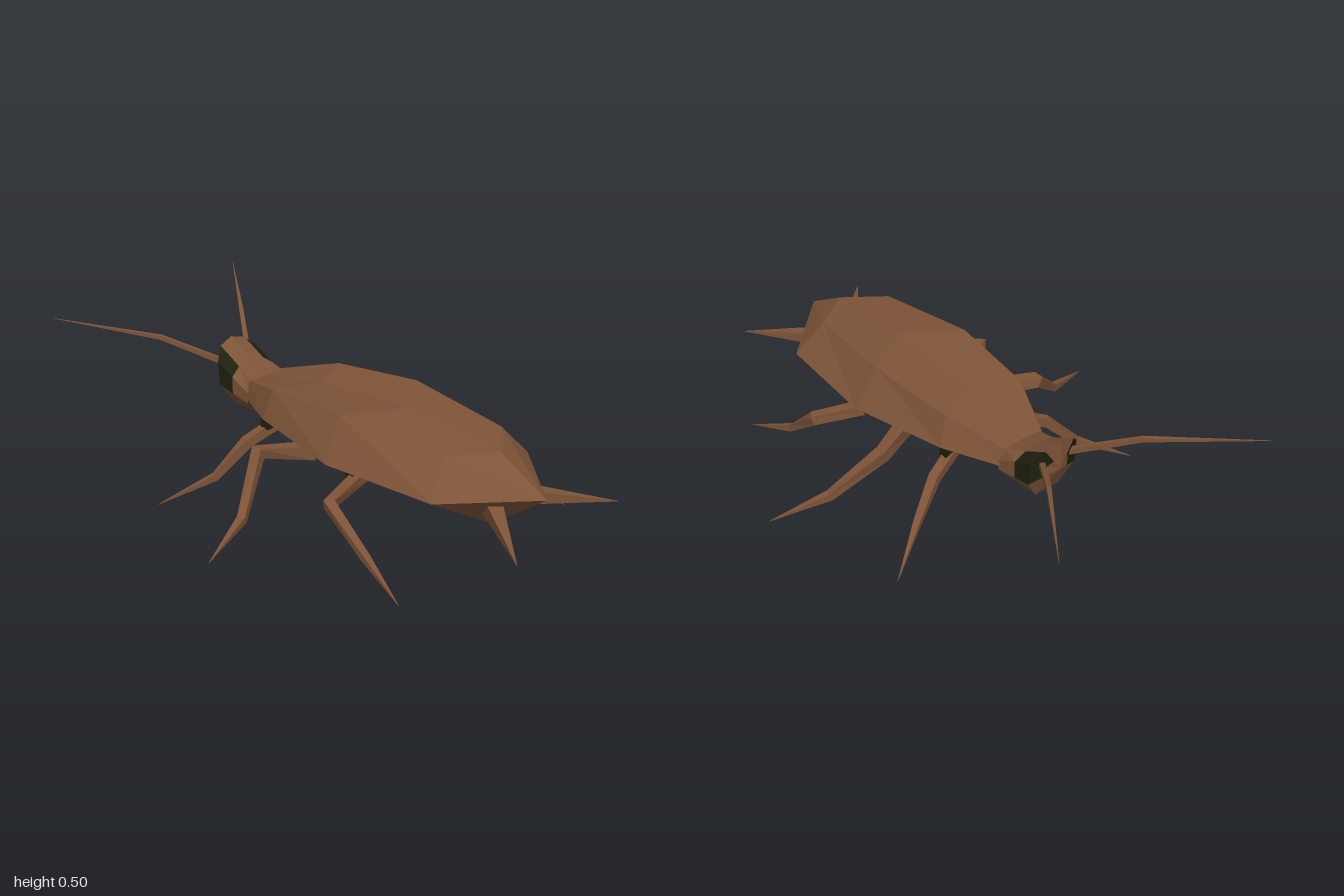
import * as THREE from 'three';

const brown = new THREE.MeshStandardMaterial({ color: 0x7e5438, flatShading: true });
brown.name = 'chitinBrown';
const dark = new THREE.MeshStandardMaterial({ color: 0x1e200e, flatShading: true });
dark.name = 'eyeDark';

const V = (p) => new THREE.Vector3(...p);

// Mesh from a list of flat polygons (counter-clockwise corners), fanned into triangles
function facets(name, polys, material) {
  const pos = [];
  for (const p of polys)
    for (let i = 1; i < p.length - 1; i++) pos.push(...p[0], ...p[i], ...p[i + 1]);
  const g = new THREE.BufferGeometry();
  g.setAttribute('position', new THREE.Float32BufferAttribute(pos, 3));
  g.computeVertexNormals();
  const m = new THREE.Mesh(g, material);
  m.name = name;
  return m;
}

// Side quads between consecutive closed rings
function skin(rings) {
  const polys = [];
  for (let k = 0; k < rings.length - 1; k++) {
    const a = rings[k], b = rings[k + 1], n = a.length;
    for (let i = 0; i < n; i++) {
      const j = (i + 1) % n;
      polys.push([a[i], a[j], b[j], b[i]]);
    }
  }
  return polys;
}

// Fan from a ring to an end point; start = true closes the first ring
function cap(ring, tip, start) {
  return ring.map((p, i) => {
    const q = ring[(i + 1) % ring.length];
    return start ? [tip, q, p] : [tip, p, q];
  });
}

// Jointed limb with four sides, radius given at each joint
function limb(name, path, radii) {
  const pts = path.map(V), up = new THREE.Vector3(0, 1, 0);
  const rings = pts.map((p, i) => {
    const t = pts[Math.min(i + 1, pts.length - 1)].clone().sub(pts[Math.max(i - 1, 0)]).normalize();
    const u = up.clone().cross(t).normalize(), v = t.clone().cross(u);
    return [0, 1, 2, 3].map((k) => {
      const a = (k * Math.PI) / 2 + Math.PI / 4;
      return p.clone().addScaledVector(u, Math.cos(a) * radii[i])
        .addScaledVector(v, Math.sin(a) * radii[i]).toArray();
    });
  });
  return facets(name, [...skin(rings), ...cap(rings[0], path[0], true)], brown);
}

export function createModel() {
  const model = new THREE.Group();
  model.name = 'beetleInsect';

  // Body: [edge w, y, z], [top w, y, z], top centre z, [keel y, z]
  const bodyRing = ([w, ye, ze], [tw, yt, zt], zc, [yk, zk]) => [
    [w, ye, ze], [tw, yt, zt], [0, yt, zc], [-tw, yt, zt], [-w, ye, ze], [0, yk, zk],
  ];
  const body = [
    bodyRing([0.1, 0.27, -0.34], [0.08, 0.33, -0.34], -0.34, [0.2, -0.34]),
    bodyRing([0.2, 0.28, -0.15], [0.165, 0.385, -0.13], -0.06, [0.165, -0.15]),
    bodyRing([0.28, 0.265, 0.23], [0.195, 0.41, 0.21], 0.34, [0.087, 0.28]),
    bodyRing([0.25, 0.265, 0.65], [0.15, 0.38, 0.61], 0.72, [0.115, 0.7]),
  ];
  model.add(facets('body', [
    ...skin(body),
    ...cap(body[0], [0, 0.27, -0.34], true),
    ...cap(body[3], [0, 0.275, 0.905], false),
  ], brown));

  // Head: rings from face to neck, ordered from +x over the top to -x and under
  const headRing = (half, top) => [
    ...half, top, ...half.slice().reverse().map(([x, y, z]) => [-x, y, z]),
  ];
  const face = headRing(
    [[0.05, 0.2, -0.46], [0.1, 0.28, -0.48], [0.1, 0.37, -0.485], [0.06, 0.412, -0.512]], [0, 0.43, -0.52]);
  const cheek = headRing(
    [[0.05, 0.2, -0.41], [0.1, 0.265, -0.41], [0.1, 0.33, -0.41], [0.06, 0.358, -0.415]], [0, 0.362, -0.41]);
  const neck = headRing(
    [[0.05, 0.2, -0.33], [0.1, 0.25, -0.33], [0.1, 0.29, -0.33], [0.075, 0.328, -0.33]], [0, 0.33, -0.33]);
  const muzzle = [0, 0.32, -0.52];
  const eyeSides = [1, 2, 5, 6];
  const front = skin([face, cheek]);
  const fan = cap(face, muzzle, true);
  const isEye = (_, i) => eyeSides.includes(i);
  // Inner part of each eye wraps onto the face
  const eyeFront = [], faceFront = [];
  fan.forEach(([m, q, p], i) => {
    if (!eyeSides.includes(i)) { faceFront.push([m, q, p]); return; }
    const inner = (a) => a.map((c, k) => c + (m[k] - c) * 0.55);
    eyeFront.push([inner(p), inner(q), q, p]);
    faceFront.push([m, inner(q), inner(p)]);
  });
  model.add(facets('head', [
    ...front.filter((p, i) => !isEye(p, i)), ...faceFront, ...skin([cheek, neck]),
  ], brown));
  model.add(facets('eyes', [...front.filter(isEye), ...eyeFront], dark));

  // Paired parts
  const pairs = [
    ['antenna', [[0.055, 0.35, -0.49], [0.2, 0.44, -0.68], [0.445, 0.5, -0.99]], [0.014, 0.011, 0.001]],
    ['frontLeg', [[0.12, 0.255, -0.14], [0.25, 0.2, -0.18], [0.36, 0.09, -0.225], [0.53, 0.004, -0.338]],
      [0.026, 0.024, 0.017, 0.001]],
    ['middleLeg', [[0.18, 0.23, 0.08], [0.345, 0.25, -0.02], [0.51, 0.095, 0.07], [0.715, 0.046, 0.135]],
      [0.036, 0.03, 0.02, 0.001]],
    ['hindLeg', [[0.13, 0.2, 0.27], [0.385, 0.205, 0.345], [0.385, 0.075, 0.5], [0.44, 0.004, 0.69]],
      [0.03, 0.026, 0.017, 0.001]],
    ['tailSpike', [[0.05, 0.22, 0.73], [0.27, 0.2, 0.995]], [0.042, 0.001]],
  ];
  const sockets = [[0.175, 0.258, -0.15], [0.2, 0.21, 0.275]];
  for (const s of [1, -1]) {
    const side = s > 0 ? 'left' : 'right';
    for (const [name, path, radii] of pairs)
      model.add(limb(`${name}_${side}`, path.map(([x, y, z]) => [s * x, y, z]), radii));
    // Dark joints where the legs meet the belly
    for (const [x, y, z] of sockets) {
      const joint = new THREE.Mesh(new THREE.BoxGeometry(0.035, 0.035, 0.035), dark);
      joint.name = `legJoint_${side}`;
      joint.position.set(s * x, y, z);
      model.add(joint);
    }
  }
  return model;
}
